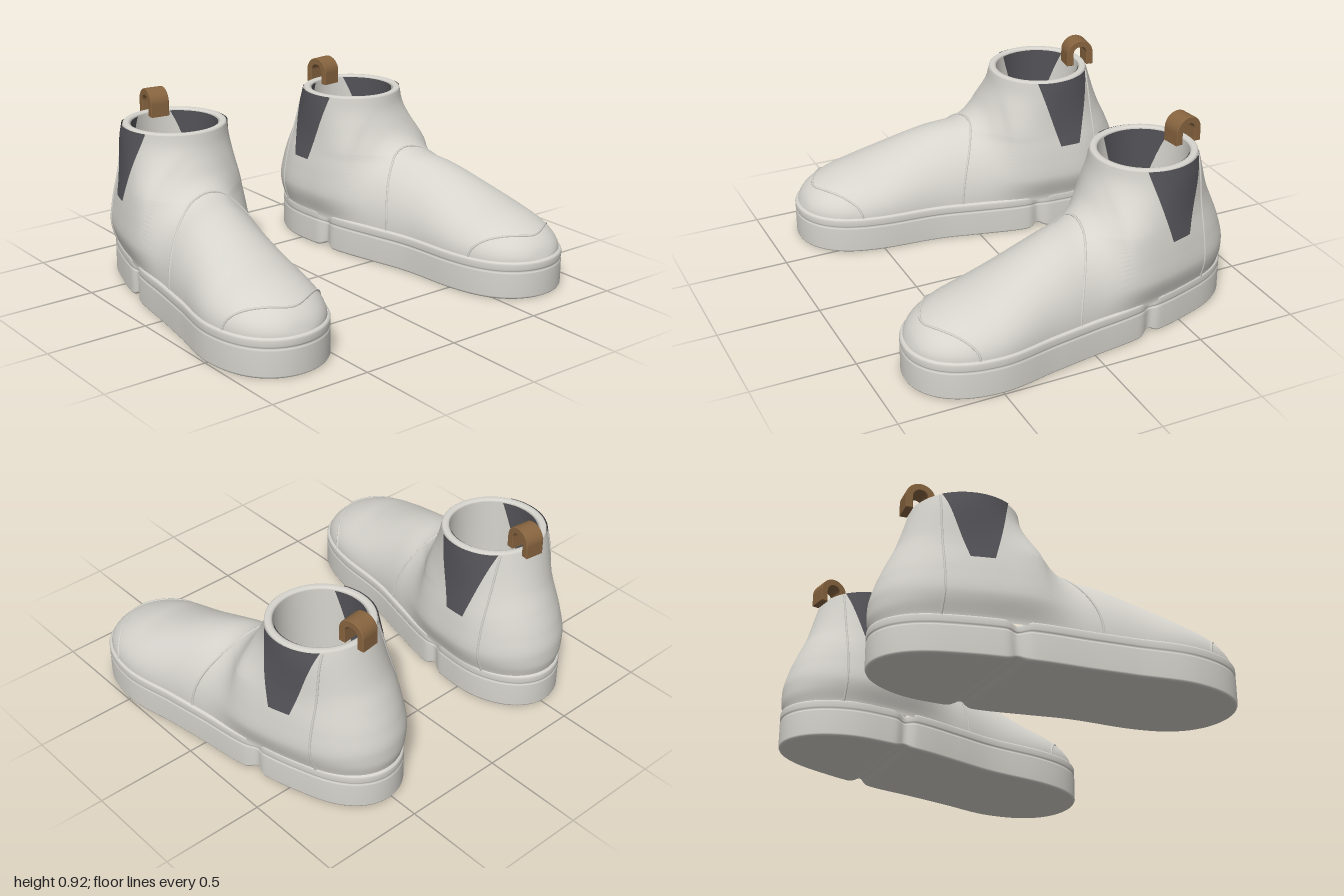
import * as THREE from 'three';
import { mergeVertices } from 'three/addons/utils/BufferGeometryUtils.js';

// Monotone cubic interpolation through [x, y] points (x ascending)
function spline(p) {
  const n = p.length, d = [], m = [];
  for (let i = 0; i < n - 1; i++) d.push((p[i + 1][1] - p[i][1]) / (p[i + 1][0] - p[i][0]));
  for (let i = 0; i < n; i++) {
    if (i === 0 || i === n - 1) m.push(d[Math.min(i, n - 2)]);
    else m.push(d[i - 1] * d[i] <= 0 ? 0 : 2 * d[i - 1] * d[i] / (d[i - 1] + d[i]));
  }
  return x => {
    if (x <= p[0][0]) return p[0][1] + (x - p[0][0]) * m[0];
    if (x >= p[n - 1][0]) return p[n - 1][1];
    let i = 0;
    while (x > p[i + 1][0]) i++;
    const h = p[i + 1][0] - p[i][0], t = (x - p[i][0]) / h, t2 = t * t, t3 = t2 * t;
    return (2 * t3 - 3 * t2 + 1) * p[i][1] + (t3 - 2 * t2 + t) * h * m[i]
      + (3 * t2 - 2 * t3) * p[i + 1][1] + (t3 - t2) * h * m[i + 1];
  };
}

// Foot plan: centre line and half width along z; instep, heel and leg profiles
const Y0 = 0.18, YT = 0.8, ZM = 0.84, LEG_X = 0.545, LEG_Z = -0.425;
const centre = spline([[-0.85, 0.52], [-0.6, 0.528], [-0.4, 0.555], [-0.2, 0.588], [0, 0.625], [0.2, 0.665], [0.5, 0.705], [0.85, 0.72]]);
const breadth = spline([[-0.85, 0.28], [-0.4, 0.28], [-0.2, 0.285], [0, 0.275], [0.2, 0.268], [0.5, 0.29], [0.85, 0.295]]);
const instep = spline([[-0.172, 0.8], [-0.162, 0.74], [-0.142, 0.68], [-0.1, 0.6], [-0.05, 0.558], [0, 0.537], [0.1, 0.52],
  [0.2, 0.493], [0.4, 0.42], [0.5, 0.385], [0.6, 0.357], [0.7, 0.318], [0.77, 0.28], [0.815, 0.235], [0.84, 0.18]]);
const heel = spline([[0.18, -0.84], [0.24, -0.852], [0.3, -0.85], [0.4, -0.825], [0.5, -0.785], [0.6, -0.74], [0.8, -0.677]]);
const bulge = spline([[0.18, 1.04], [0.3, 1.16], [0.4, 1.13], [0.6, 1.02], [0.8, 0.915]]);

const width = z => breadth(z) * Math.sqrt(Math.max(0, 1 - Math.pow(Math.abs(z) / ZM, z > 0 ? 5 : 4)));

// z on the instep where f(z), which falls with z, reaches the target
function solve(f, target) {
  let a = -0.172, b = ZM;
  for (let i = 0; i < 45; i++) {
    const c = (a + b) / 2;
    if (f(c) > target) a = c; else b = c;
  }
  return (a + b) / 2;
}

// Point of the upper's skin at a given z and height, side +1 or -1
function skin(z, y, side, front = solve(instep, y)) {
  const yy = Math.max(y, Y0), back = heel(yy);
  const u = (z - (front + back) / 2) / ((front - back) / 2);
  const g = bulge(yy), s = THREE.MathUtils.smoothstep(yy, 0.48, 0.78);
  const zr = z < -0.3 ? -0.3 - (z + 0.3) / (back + 0.3) * (ZM - 0.3) : z;
  const rise = Math.min(1, (yy - Y0) / Math.max(1e-6, instep(z) - Y0));
  const arch = z < front ? Math.sqrt(Math.max(0, 1 - rise * rise)) : 0;
  const foot = width(zr) * arch * THREE.MathUtils.lerp(g, 1, THREE.MathUtils.smoothstep(z, -0.35, 0.02));
  const leg = 0.273 * g * Math.sqrt(Math.max(0, 1 - u * u));
  const x = THREE.MathUtils.lerp(centre(z), LEG_X, s) + side * THREE.MathUtils.lerp(foot, leg, s);
  return new THREE.Vector3(x, y, z);
}

// Skin over a stack of rings; caps join opposite points of the end rings
function loft(rings, capped) {
  const n = rings[0].length, pos = [], index = [];
  rings.forEach(r => r.forEach(p => pos.push(p.x, p.y, p.z)));
  for (let k = 0; k < rings.length - 1; k++) for (let i = 0; i < n; i++) {
    const j = (i + 1) % n, a = k * n + i, b = k * n + j;
    index.push(a, b, b + n, a, b + n, a + n);
  }
  if (capped) [rings[0], rings[rings.length - 1]].forEach((r, top) => {
    const o = pos.length / 3;
    r.forEach(p => pos.push(p.x, p.y, p.z));
    for (let i = 0; i < n / 2; i++) {
      const a = o + i, b = o + i + 1, c = o + (n - i - 1), d = o + (n - i) % n;
      if (top) index.push(a, b, c, a, c, d); else index.push(a, c, b, a, d, c);
    }
  });
  return finish(pos, index);
}

function finish(pos, index) {
  const geo = new THREE.BufferGeometry();
  geo.setAttribute('position', new THREE.Float32BufferAttribute(pos, 3));
  geo.setIndex(index);
  geo.computeVertexNormals();
  return geo;
}

function upperGeometry() {
  const N = 144, K = 72, rings = [];
  const travel = z => (ZM - z) + instep(z) - Y0;
  for (let k = -1; k <= K; k++) {
    const front = k <= 0 ? ZM : solve(travel, travel(-0.172) * k / K);
    const y = k < 0 ? 0.166 : k === 0 ? Y0 : instep(front), back = heel(Math.max(y, Y0));
    rings.push(Array.from({ length: N }, (_, i) => skin((front + back) / 2 + (front - back) / 2 * Math.cos(i / N * 2 * Math.PI),
      y, i === 0 || i === N / 2 ? 0 : i < N / 2 ? 1 : -1, front)));
  }
  return loft(rings, false);
}

// Sole with a fine groove round the edge and a notch in front of the heel
function soleGeometry() {
  const N = 320;
  const levels = [[0, 0.004], [0.004, 0.011], [0.012, 0.015], [0.128, 0.015], [0.134, 0.012], [0.139, 0.009], [0.144, 0.012],
    [0.15, 0.015], [0.174, 0.015], [0.182, 0.012], [0.186, 0.004]];
  return loft(levels.map(([y, off]) => Array.from({ length: N }, (_, i) => {
    const a = i / N * 2 * Math.PI, z0 = ZM * Math.cos(a), z = z0 + off * Math.cos(a);
    const n = Math.exp(-Math.pow((z + 0.31) / 0.032, 2)), side = i === 0 || i === N / 2 ? 0 : i < N / 2 ? 1 : -1;
    const w = width(z0) + off * Math.abs(Math.sin(a)) - 0.022 * n;
    return new THREE.Vector3(centre(z0) + side * w, y + n * (0.02 - 0.2 * y), z);
  })), true);
}

// Tapered elastic panel laid on a surface given by at(z, y)
function panelGeometry(at, side) {
  const C = 16, R = 20, pos = [], index = [];
  for (let j = 0; j <= R; j++) for (let i = 0; i <= C; i++) {
    const t = j / R, z = THREE.MathUtils.lerp(THREE.MathUtils.lerp(-0.42, -0.315, t), THREE.MathUtils.lerp(-0.525, -0.615, t), i / C);
    const p = at(z, THREE.MathUtils.lerp(0.46, 0.802, t));
    pos.push(p.x, p.y, p.z);
    if (i < C && j < R) {
      const a = j * (C + 1) + i, b = a + 1, c = a + C + 1, d = c + 1;
      if (side > 0) index.push(a, b, d, a, d, c); else index.push(a, d, b, a, c, d);
    }
  }
  return finish(pos, index);
}

const cord = pts => new THREE.TubeGeometry(new THREE.CatmullRomCurve3(pts), 64, 0.006, 6);

// Seam arching over the foot from zEdge at the sole to zTop on the ridge
function archSeam(zEdge, zTop) {
  const pts = [];
  for (let i = 0; i <= 32; i++) {
    const t = i / 32 * Math.PI, s = Math.sin(t), z = zEdge + (zTop - zEdge) * s * s;
    pts.push(skin(z, Y0 + (instep(z) - Y0) * s * 0.9999, Math.sign(Math.round(Math.cos(t) * 1e6))));
  }
  return cord(pts);
}

// Half-ring pull tab with straight ends
function tabGeometry() {
  const s = new THREE.Shape();
  s.moveTo(0.067, -0.06);
  s.lineTo(0.067, 0);
  s.absarc(0, 0, 0.067, 0, Math.PI, false);
  s.lineTo(-0.067, -0.06);
  s.lineTo(-0.038, -0.06);
  s.lineTo(-0.038, 0);
  s.absarc(0, 0, 0.038, Math.PI, 0, true);
  s.lineTo(0.038, -0.06);
  const geo = new THREE.ExtrudeGeometry(s, { depth: 0.09, bevelEnabled: true, bevelSize: 0.003, bevelThickness: 0.004, bevelSegments: 1, curveSegments: 20 });
  return geo.translate(0, 0, -0.045).rotateY(Math.PI / 2 + 0.13).translate(0.523, 0.85, -0.645);
}

function mirrored(geo) {
  const g = geo.index ? geo.clone() : mergeVertices(geo);
  g.scale(-1, 1, 1);
  const ix = g.index.array;
  for (let i = 0; i < ix.length; i += 3) [ix[i], ix[i + 1]] = [ix[i + 1], ix[i]];
  return g;
}

export function createModel() {
  const leather = new THREE.MeshStandardMaterial({ color: 0xd6d4cd });
  const elastic = new THREE.MeshStandardMaterial({ color: 0x535257, side: THREE.DoubleSide });
  const tan = new THREE.MeshStandardMaterial({ color: 0x87643f });
  leather.name = 'offWhite';
  elastic.name = 'charcoal';
  tan.name = 'brown';

  // Rolled collar, inner wall and insole in one turned profile
  const lining = new THREE.LatheGeometry([[0.25, 0.796], [0.249, 0.803], [0.243, 0.808], [0.225, 0.808], [0.216, 0.804], [0.213, 0.796],
    [0.213, 0.5], [0.213, 0.212], [0.212, 0.21], [0, 0.21]].map(p => new THREE.Vector2(...p)), 72).translate(LEG_X, 0, LEG_Z);

  const parts = [['upper', upperGeometry(), leather], ['sole', soleGeometry(), leather], ['collarAndLining', lining, leather],
    ['vampSeam', archSeam(0.08, -0.045), leather], ['toeSeam', archSeam(0.6, 0.765), leather], ['pullTab', tabGeometry(), tan]];
  for (const side of [1, -1]) {
    const outer = (z, y) => skin(z, y, side).add(new THREE.Vector3(side * 0.006, 0, 0));
    const inner = (z, y) => new THREE.Vector3(LEG_X + side * (Math.sqrt(0.213 ** 2 - (z - LEG_Z) ** 2) - 0.005), y - 0.004, z);
    parts.push(['elasticPanel', panelGeometry(outer, side), elastic], ['elasticPanelInside', panelGeometry(inner, -side), elastic]);
    const line = Array.from({ length: 20 }, (_, i) => skin(-0.635 + 0.015 * i / 19, Y0 + (YT - Y0 - 0.003) * i / 19, side));
    parts.push(['heelSeam', cord(line), leather]);
  }

  const model = new THREE.Group();
  model.name = 'bootPair';
  for (const [name, flip] of [['leftBoot', false], ['rightBoot', true]]) {
    const boot = new THREE.Group();
    boot.name = name;
    for (const [part, geo, mat] of parts) {
      const mesh = new THREE.Mesh(flip ? mirrored(geo) : geo, mat);
      mesh.name = part;
      boot.add(mesh);
    }
    model.add(boot);
  }
  return model;
}
